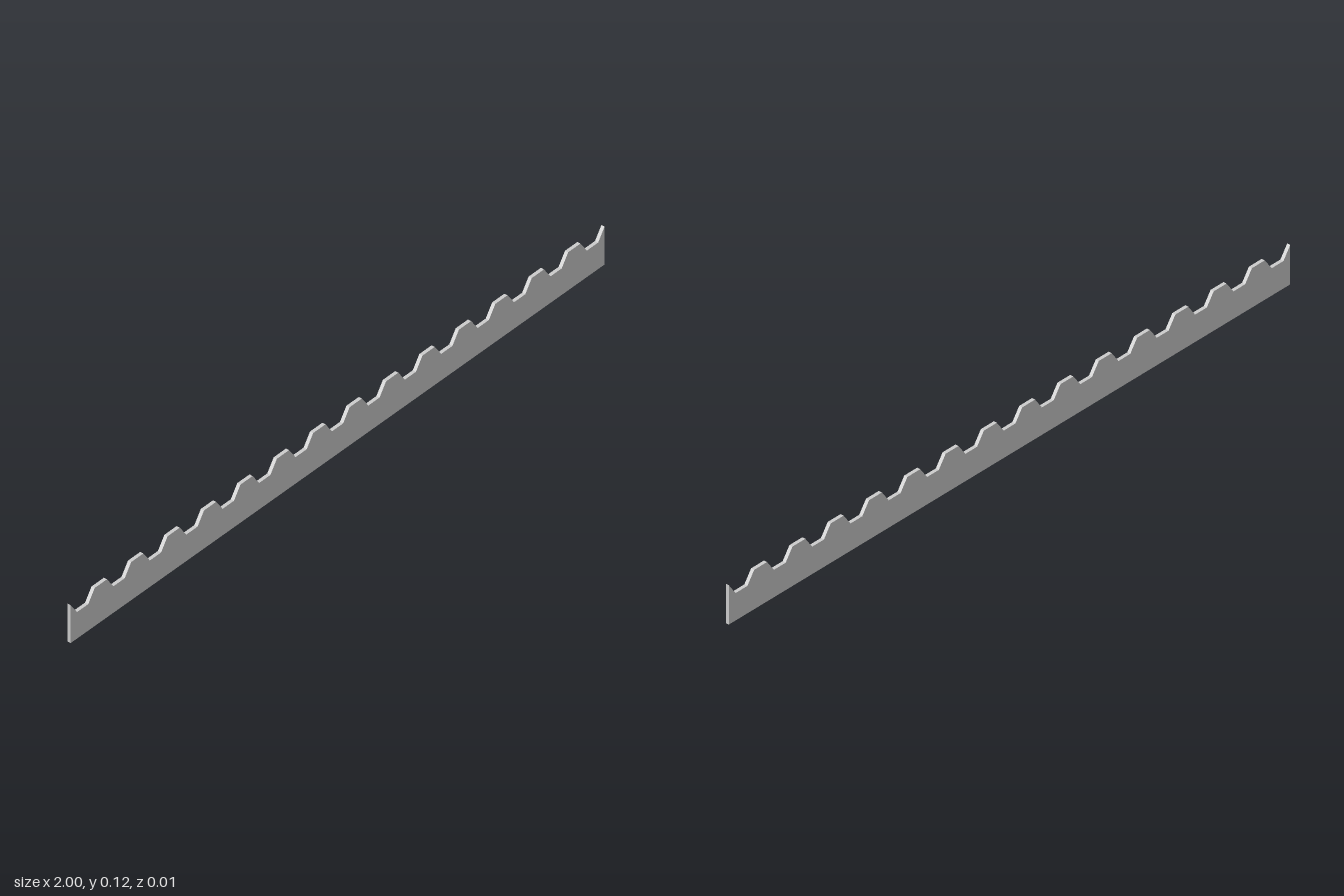
import * as THREE from 'three';

export function createModel() {
  const group = new THREE.Group();
  const grooves = 15, pitch = 0.1364;
  const topHalf = 1 - pitch * (grooves - 1) / 2; // groove half-width at the rim
  const floorHalf = 0.021;
  const height = 0.115, floor = 0.08, thickness = 0.01;

  // Strip outline: flat base, trapezoid grooves cut along the top edge
  const shape = new THREE.Shape();
  shape.moveTo(-1, 0);
  shape.lineTo(1, 0);
  for (let i = grooves - 1; i >= 0; i--) {
    const x = (i - (grooves - 1) / 2) * pitch;
    shape.lineTo(x + topHalf, height);
    shape.lineTo(x + floorHalf, floor);
    shape.lineTo(x - floorHalf, floor);
    shape.lineTo(x - topHalf, height);
  }
  shape.closePath();

  const geometry = new THREE.ExtrudeGeometry(shape, { depth: thickness, bevelEnabled: false });
  geometry.translate(0, 0, -thickness / 2);
  const strip = new THREE.Mesh(
    geometry,
    new THREE.MeshStandardMaterial({ color: 0xcccccc, flatShading: true })
  );
  strip.name = 'notchedStrip';
  group.add(strip);
  return group;
}
